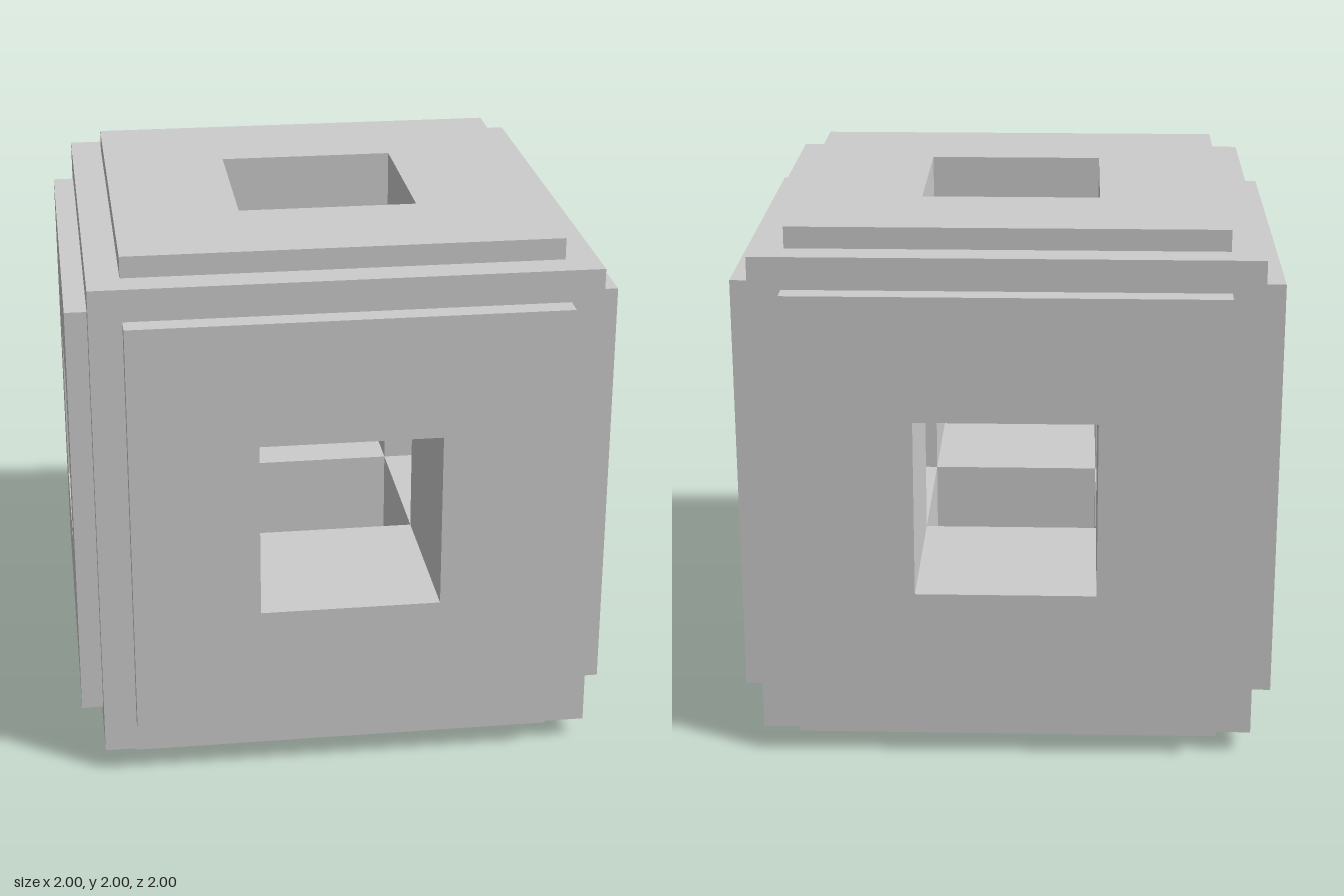
import * as THREE from 'three';
import { mergeGeometries } from 'three/addons/utils/BufferGeometryUtils.js';

const CORE = 0.92;     // half size of the cube body
const PLATE = 0.8;     // half size of the raised plates
const OUT = 1;         // distance of a plate's outer face from the centre
const HOLE = 1 / 3;    // half size of the square tunnels

function square(half, Type = THREE.Shape) {
  return new Type([[-1, -1], [1, -1], [1, 1], [-1, 1]].map(([x, y]) => new THREE.Vector2(x * half, y * half)));
}

function frame(outer, inner) {
  const shape = square(outer);
  shape.holes.push(square(inner, THREE.Path));
  return shape;
}

// Four inward-facing walls running from the cube face to the central chamber
function tunnelWalls() {
  const depth = CORE - HOLE;
  const walls = [0, 1, 2, 3].map((i) =>
    new THREE.PlaneGeometry(depth, 2 * HOLE)
      .rotateY(-Math.PI / 2)
      .translate(HOLE, 0, HOLE + depth / 2)
      .rotateZ(i * Math.PI / 2));
  return mergeGeometries(walls);
}

export function createModel() {
  const model = new THREE.Group();
  model.name = 'hollowCube';
  const material = new THREE.MeshStandardMaterial({ color: 0xcccccc });

  // Geometry of one side, facing +z
  const parts = {
    bodyFace: new THREE.ShapeGeometry(frame(CORE, PLATE)).translate(0, 0, CORE),
    raisedPlate: new THREE.ExtrudeGeometry(frame(PLATE, HOLE), { depth: OUT - CORE, bevelEnabled: false })
      .translate(0, 0, CORE),
    tunnel: tunnelWalls(),
  };

  // The same side turned to all six directions
  const q = Math.PI / 2;
  const sides = {
    front: [0, 0], left: [0, q], back: [0, 2 * q], right: [0, -q], top: [-q, 0], bottom: [q, 0],
  };
  for (const [sideName, [rx, ry]] of Object.entries(sides)) {
    const side = new THREE.Group();
    side.name = sideName + 'Side';
    side.rotation.set(rx, ry, 0);
    side.position.y = OUT;
    for (const [partName, geometry] of Object.entries(parts)) {
      const mesh = new THREE.Mesh(geometry, material);
      mesh.name = partName;
      side.add(mesh);
    }
    model.add(side);
  }
  return model;
}
